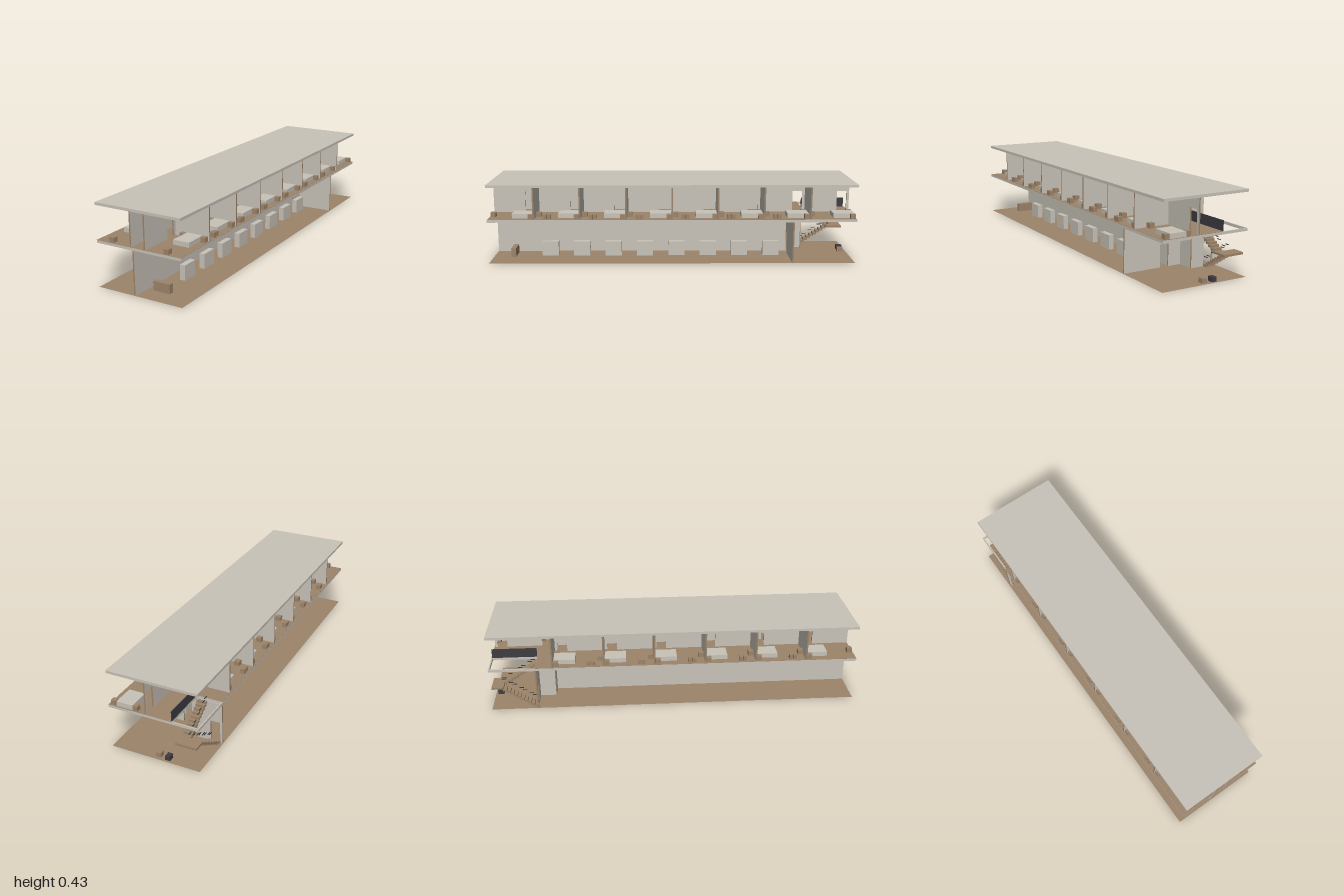
import * as THREE from 'three';

const mat = (name, color) => {
  const m = new THREE.MeshStandardMaterial({ color });
  m.name = name;
  return m;
};

export function createModel() {
  const plaster = mat('plaster', 0xc8c3b9);
  const wood = mat('wood', 0x9c846a);
  const dark = mat('charcoal', 0x3c3c42);
  const model = new THREE.Group();
  model.name = 'building';

  // Box given by its limits on each axis
  const box = (name, material, [x0, x1], [y0, y1], [z0, z1], parent = model) => {
    const mesh = new THREE.Mesh(new THREE.BoxGeometry(x1 - x0, y1 - y0, z1 - z0), material);
    mesh.position.set((x0 + x1) / 2, (y0 + y1) / 2, (z0 + z1) / 2);
    mesh.name = name;
    parent.add(mesh);
    return mesh;
  };

  // Straight wall with wooden ends, split around door openings
  const T = 0.004, DOOR = 0.119;
  const endsX = [wood, wood, plaster, plaster, plaster, plaster];
  const endsZ = [plaster, plaster, plaster, plaster, wood, wood];
  const wall = (name, axis, at, from, to, [y0, y1], doors = []) => {
    const g = new THREE.Group();
    g.name = name;
    model.add(g);
    const piece = (a, b, ya, yb, label) => {
      if (b - a < 0.001) return;
      const across = [at - T, at + T];
      if (axis === 'x') box(label, endsX, [a, b], [ya, yb], across, g);
      else box(label, endsZ, across, [ya, yb], [a, b], g);
    };
    let start = from;
    for (const [a, b] of [...doors].sort((p, q) => p[0] - q[0])) {
      piece(start, a, y0, y1, 'wallPanel');
      piece(a, b, y0 + DOOR, y1, 'doorLintel');
      start = b;
    }
    piece(start, to, y0, y1, 'wallPanel');
  };

  const W = 0.243, FLOOR = 0.245;
  const low = [0.001, 0.23], up = [0.244, 0.42];

  // Ground sheet
  const ground = new THREE.Mesh(new THREE.PlaneGeometry(2 * W, 2).rotateX(-Math.PI / 2), wood);
  wood.side = THREE.DoubleSide;
  ground.position.y = 0.001;
  ground.name = 'ground';
  model.add(ground);

  // Roof, and upper slab with the stairwell left open
  box('roof', plaster, [-W, W], [0.42, 0.434], [-1, 1]);
  const slab = [0.23, 0.244], finish = [0.244, FLOOR];
  box('upperSlab', plaster, [-W, W], slab, [-0.75, 1]);
  box('upperSlabBack', plaster, [-0.1, W], slab, [-1, -0.75]);
  box('stairwellEdgeSide', plaster, [-W, -0.236], slab, [-1, -0.75]);
  box('stairwellEdgeBack', plaster, [-0.236, -0.1], slab, [-1, -0.993]);
  box('upperFloor', wood, [-W, W], finish, [-0.75, 1]);
  box('upperFloorBack', wood, [-0.1, W], finish, [-1, -0.75]);

  // Lower walls
  wall('lowerSpineWall', 'z', -0.027, -0.66, 1, low);
  wall('lowerCrossWall', 'x', -0.66, -0.1, 0.238, low, [[-0.023, 0.027]]);
  wall('stairSideWall', 'z', -0.1, -0.75, -0.66, low);
  wall('stairFrontWall', 'x', -0.75, -0.24, -0.1, low, [[-0.228, -0.175]]);

  // Desk, row of upright blocks and two stools
  box('frontDesk', wood, [0.01, 0.106], [0, 0.05], [0.876, 0.903]);
  for (let i = 0; i < 8; i++) {
    const z = 0.686 - 0.1776 * i;
    box('uprightBlock', plaster, [0.048, 0.078], [0, 0.082], [z - 0.046, z + 0.046]);
  }
  box('woodStool', wood, [-0.022, 0.004], [0, 0.025], [-0.983, -0.951]);
  box('darkStool', dark, [-0.075, -0.049], [0, 0.025], [-0.988, -0.956]);

  // Stairs: two flights joined by a landing, with short rail bars
  const stairs = new THREE.Group();
  stairs.name = 'stairs';
  model.add(stairs);
  const STEPS = 10, RUN = 0.018, RISE = 0.0115;
  for (let i = 0; i < STEPS; i++) {
    const z = -0.75 - RUN * i, y = RISE * i;
    box('lowerStep', wood, [-0.226, -0.178], [y, y + RISE], [z - RUN - 0.005, z], stairs);
    box('upperStep', wood, [-0.16, -0.112], [0.23 - y - RISE, 0.23 - y], [z - RUN, z + 0.005], stairs);
    if (i % 3 !== 2) {
      box('lowerRailBar', dark, [-0.183, -0.179], [y + 0.05, y + 0.053], [z - 0.03, z - 0.006], stairs);
      box('upperRailBar', dark, [-0.16, -0.156], [0.255 - y, 0.258 - y], [z - 0.03, z - 0.006], stairs);
    }
  }
  box('landing', wood, [-0.226, -0.112], [0.115, 0.126], [-0.995, -0.93], stairs);
  box('stairwellRailing', dark, [-0.102, -0.098], [FLOOR, 0.297], [-0.995, -0.75]);

  // Upper rooms on both sides of the corridor
  const rooms = (side, count, pitch, end) => {
    const span = (a, b) => (side > 0 ? [a, b] : [-b, -a]);
    const h = [FLOOR, 0.27];
    const doors = [];
    for (let i = 0; i < count; i++) {
      const z0 = 1 - pitch * i, z1 = z0 - pitch;
      doors.push([z1 + 0.019, z1 + 0.073]);
      if (z1 > -0.99) wall('roomPartition', 'x', z1, ...span(0.044, 0.238), up);
      const g = new THREE.Group();
      g.name = 'roomFurniture';
      model.add(g);
      box('bed', plaster, span(0.112, 0.201), h, [z1 + 0.006, z1 + 0.122], g);
      for (const x of [0.085, 0.205])
        box('nightstand', wood, span(x, x + 0.026), h, [z1 + 0.005, z1 + 0.032], g);
      box('cabinet', wood, span(0.143, 0.171), h, [z0 - 0.034, z0 - 0.006], g);
      if (i > 0 && i < 7)
        for (const d of [0.07, 0.092])
          box('seat', wood, span(0.205, 0.23), h, [z0 - d, z0 - d + 0.019], g);
    }
    wall('corridorWall', 'z', side * 0.04, end, 1, up, doors);
  };
  rooms(1, 8, 0.25, -0.995);
  rooms(-1, 6, 1.66 / 6, -0.66);

  return model;
}
